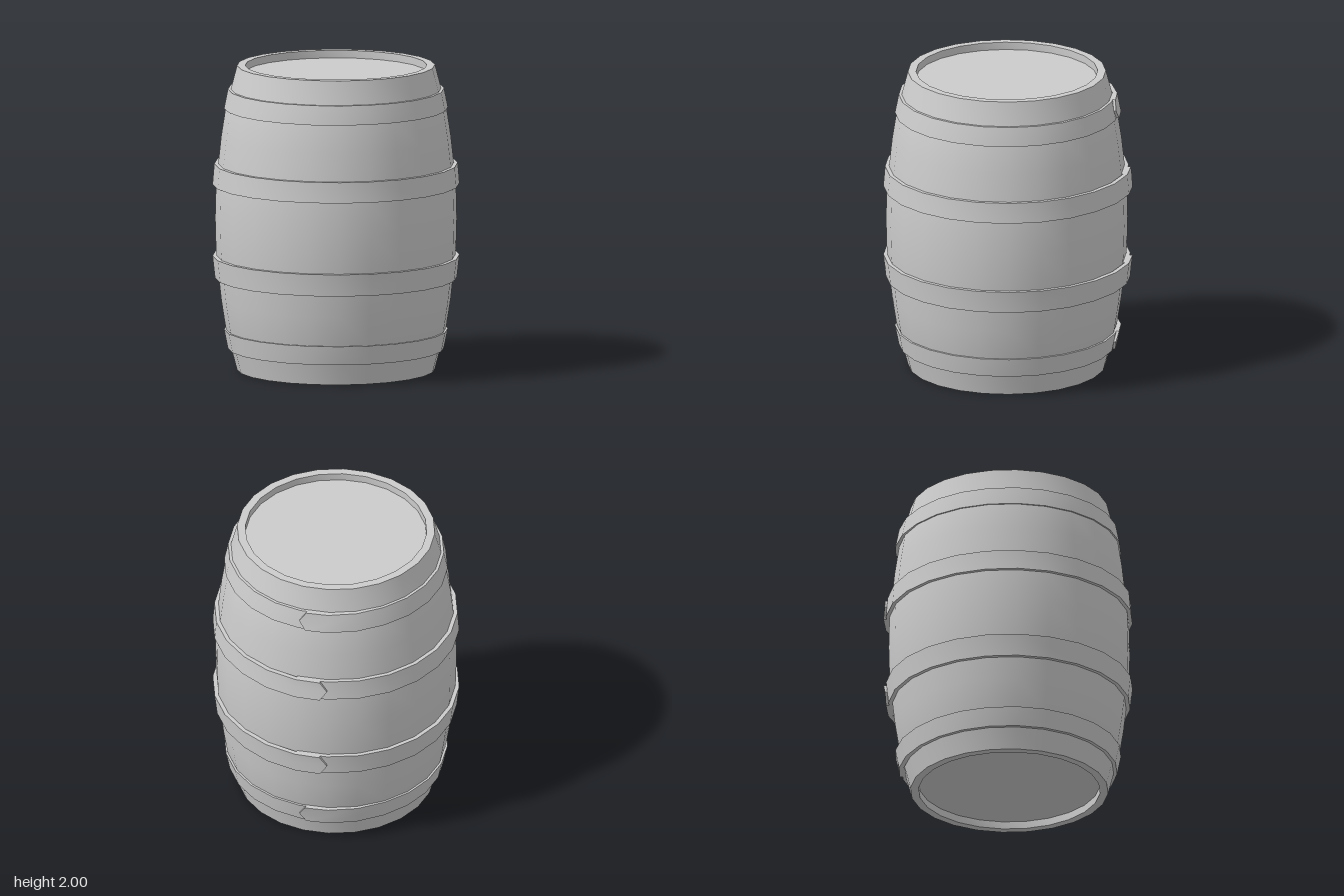
import * as THREE from 'three';
import { toCreasedNormals } from 'three/addons/utils/BufferGeometryUtils.js';

const SIDES = 24;
const STEP = (Math.PI * 2) / SIDES;
const material = new THREE.MeshStandardMaterial({ color: 0xcccccc });

// Staves and both recessed heads as one turned profile, mirrored about mid height
function createBody() {
  const lower = [
    [0, 0.05], [0.59, 0.05], [0.59, 0], [0.643, 0], [0.682, 0.15], [0.717, 0.28],
    [0.745, 0.46], [0.765, 0.645], [0.78, 0.8],
  ];
  const upper = lower.map(([r, y]) => [r, 2 - y]).reverse();
  const profile = [...lower, [0.785, 1], ...upper].map(([r, y]) => new THREE.Vector2(r, y));
  const mesh = new THREE.Mesh(toCreasedNormals(new THREE.LatheGeometry(profile, SIDES), 0.6), material);
  mesh.name = 'barrelBody';
  return mesh;
}

// Tapered metal strip wrapped once round the barrel; its pointed end laps over its start.
// end: angle of the tip from the back towards +x; dir: side from which the strip arrives
function createHoop(name, y0, r0, y1, r1, end, dir) {
  const thickness = 0.03, lift = 0.015, point = 0.06;
  const positions = [], index = [];
  const rings = SIDES + 2;
  const quad = (a, b, c, d) => {
    if (dir > 0) index.push(a, b, c, a, c, d);
    else index.push(a, c, b, a, d, c);
  };
  for (let i = 0; i < rings; i++) {
    // corners: inner bottom, outer bottom, outer middle, outer top, inner top, inner middle
    for (const [t, inset] of [[0, 1], [0, 0], [0.5, 0], [1, 0], [1, 1], [0.5, 1]]) {
      const u = i === 0 && t !== 0.5 ? point : i * STEP;
      const rise = lift * THREE.MathUtils.clamp((3 * STEP - u) / (2 * STEP), 0, 1);
      const r = THREE.MathUtils.lerp(r0, r1, t) - inset * thickness + rise;
      const a = end + dir * u;
      positions.push(r * Math.sin(a), THREE.MathUtils.lerp(y0, y1, t), -r * Math.cos(a));
    }
  }
  for (let i = 0; i < rings - 1; i++) {
    for (let j = 0; j < 6; j++) {
      const k = (j + 1) % 6, p = i * 6, q = p + 6;
      quad(p + j, p + k, q + k, q + j);
    }
  }
  // close both ends of the strip
  const s = (rings - 1) * 6;
  quad(5, 2, 1, 0);
  quad(4, 3, 2, 5);
  quad(s, s + 1, s + 2, s + 5);
  quad(s + 5, s + 2, s + 3, s + 4);

  const geometry = new THREE.BufferGeometry();
  geometry.setAttribute('position', new THREE.Float32BufferAttribute(positions, 3));
  geometry.setIndex(index);
  const mesh = new THREE.Mesh(toCreasedNormals(geometry, 0.6), material);
  mesh.name = name;
  return mesh;
}

export function createModel() {
  const group = new THREE.Group();
  group.name = 'barrel';
  group.add(
    createBody(),
    createHoop('topHoop', 1.72, 0.727, 1.845, 0.702, STEP, -1),
    createHoop('upperMiddleHoop', 1.22, 0.802, 1.355, 0.791, 0, 1),
    createHoop('lowerMiddleHoop', 0.605, 0.786, 0.75, 0.802, 0, 1),
    createHoop('bottomHoop', 0.14, 0.702, 0.265, 0.727, STEP, -1),
  );
  return group;
}
